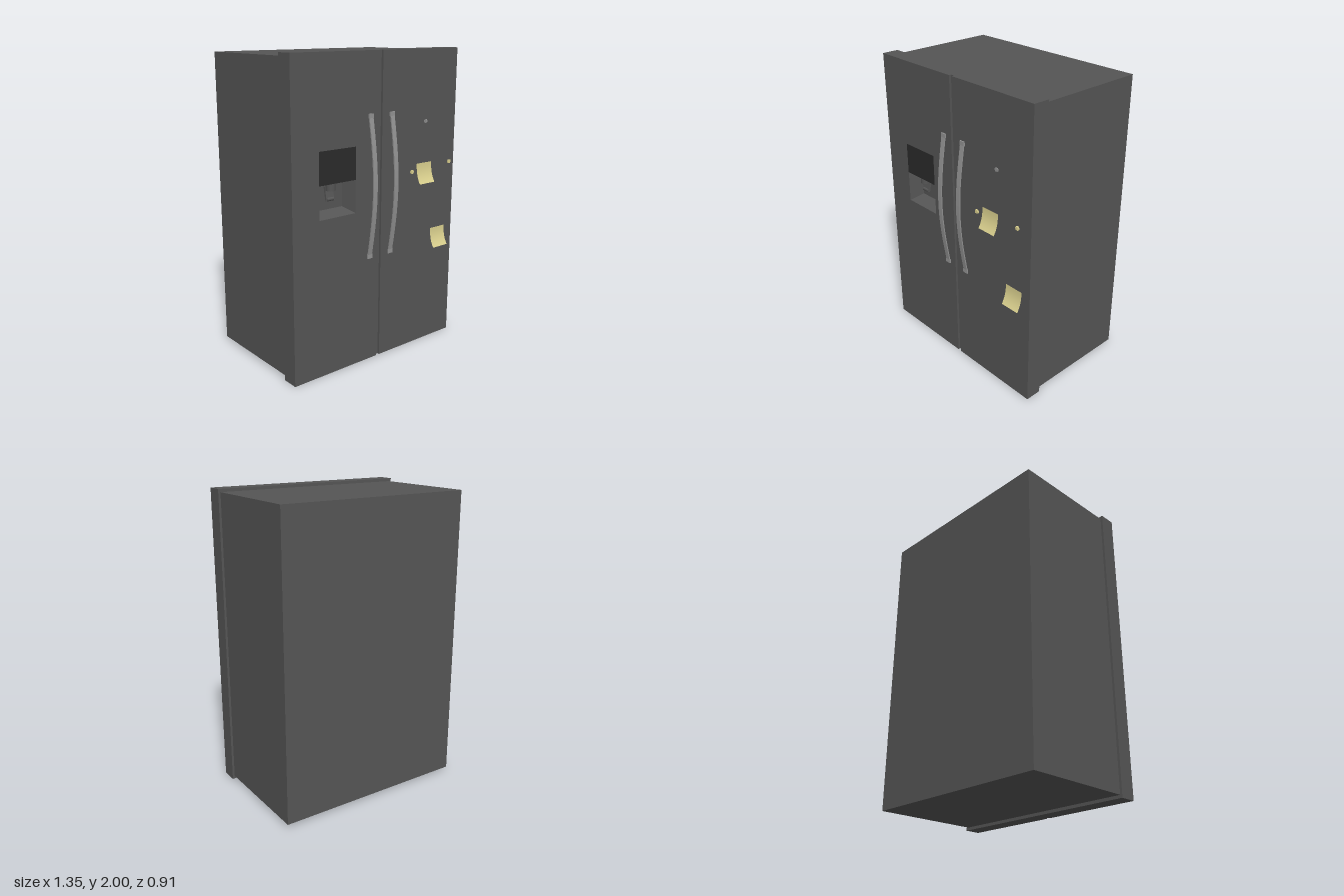
import * as THREE from 'three';

const mat = (name, color, side = THREE.FrontSide) => {
  const m = new THREE.MeshStandardMaterial({ color, side });
  m.name = name;
  return m;
};

export function createModel() {
  const model = new THREE.Group();
  model.name = 'refrigerator';
  const grey = mat('dark grey', 0x555555, THREE.DoubleSide);
  const black = mat('panel black', 0x2b2b2b);
  const steel = mat('handle steel', 0x929292);
  const yellow = mat('note yellow', 0xdad08e, THREE.DoubleSide);

  const add = (name, geometry, material, parent = model) => {
    const mesh = new THREE.Mesh(geometry, material);
    mesh.name = name;
    parent.add(mesh);
    return mesh;
  };
  // Box given by its minimum and maximum corners
  const box = (name, x0, x1, y0, y1, z0, z1, material, parent) =>
    add(name, new THREE.BoxGeometry(x1 - x0, y1 - y0, z1 - z0)
      .translate((x0 + x1) / 2, (y0 + y1) / 2, (z0 + z1) / 2), material, parent);
  const corners = (x0, x1, y0, y1) =>
    [[x0, y0], [x1, y0], [x1, y1], [x0, y1]].map(([x, y]) => new THREE.Vector2(x, y));

  // Cabinet and doors
  box('cabinet', -0.66, 0.66, 0.02, 1.98, -0.455, 0.28, grey);
  box('rightHandDoor', 0.014, 0.675, 0, 2, 0.28, 0.39, grey);
  box('doorSeal', -0.014, 0.014, 0, 2, 0.28, 0.375, grey);
  const door = new THREE.Shape(corners(-0.675, -0.014, 0, 2));
  door.holes.push(new THREE.Path(corners(-0.48, -0.2, 1.02, 1.435)));
  add('dispenserDoor', new THREE.ExtrudeGeometry(door, { depth: 0.11, bevelEnabled: false })
    .translate(0, 0, 0.28), grey);

  // Dispenser: control panel above a recess that narrows towards the back
  const dispenser = new THREE.Group();
  dispenser.name = 'dispenser';
  model.add(dispenser);
  box('controlPanel', -0.48, -0.2, 1.23, 1.435, 0.285, 0.391, black, dispenser);
  const f = [[-0.48, 1.02, 0.39], [-0.2, 1.02, 0.39], [-0.2, 1.23, 0.39], [-0.48, 1.23, 0.39]];
  const b = [[-0.445, 1.052, 0.3], [-0.235, 1.052, 0.3], [-0.235, 1.23, 0.3], [-0.445, 1.23, 0.3]];
  const quads = [[f[0], f[1], b[1], b[0]], [f[1], f[2], b[2], b[1]], [f[3], f[0], b[0], b[3]], b];
  const recess = new THREE.BufferGeometry();
  recess.setAttribute('position', new THREE.Float32BufferAttribute(
    quads.flatMap(([p, q, r, s]) => [p, q, r, p, r, s]).flat(), 3));
  recess.computeVertexNormals();
  add('recess', recess, grey, dispenser);
  // Spout and paddle
  add('spout', new THREE.CylinderGeometry(0.03, 0.03, 0.05, 16).translate(-0.36, 1.205, 0.345), grey, dispenser);
  const paddle = box('paddle', -0.03, 0.03, -0.045, 0.045, -0.006, 0.006, grey, dispenser);
  paddle.position.set(-0.36, 1.16, 0.33);
  paddle.rotation.x = -0.2;
  add('paddleTip', new THREE.CylinderGeometry(0.012, 0.012, 0.05, 12).rotateZ(Math.PI / 2)
    .translate(-0.36, 1.125, 0.338), grey, dispenser);

  // Bowed handles: a side profile extruded across the width
  const N = 20;
  const arc = (offset) => Array.from({ length: N + 1 }, (_, i) => {
    const t = i / N;
    return new THREE.Vector2(0.388 + offset + 0.049 * Math.sin(Math.PI * t), 0.71 + 0.905 * t);
  });
  const profile = new THREE.Shape([...arc(0.008), ...arc(0).reverse()]);
  for (const [name, x] of [['dispenserDoorHandle', -0.083], ['rightHandDoorHandle', 0.093]]) {
    const handle = new THREE.Group();
    handle.name = name;
    model.add(handle);
    add('handleBar', new THREE.ExtrudeGeometry(profile, { depth: 0.032, bevelEnabled: false })
      .rotateY(-Math.PI / 2).translate(x + 0.016, 0, 0), steel, handle);
    for (const y of [0.715, 1.61])
      box('handleFoot', x - 0.019, x + 0.019, y - 0.014, y + 0.014, 0.385, 0.399, steel, handle);
  }

  // Paper notes whose lower edge curls outward
  const note = (name, x, y, z) => {
    const g = new THREE.PlaneGeometry(0.135, 0.133, 1, 12);
    const p = g.attributes.position;
    for (let i = 0; i < p.count; i++) {
      const t = Math.max(0, 0.5 - p.getY(i) / 0.133);
      p.setZ(i, 0.034 * t ** 2.5);
    }
    g.computeVertexNormals();
    add(name, g.translate(x, y, z), yellow);
  };
  note('upperNote', 0.362, 1.205, 0.419);
  note('lowerNote', 0.538, 0.73, 0.391);

  // Small magnets: a square head with a side stub
  const magnet = (name, x, y, z, material) => {
    const group = new THREE.Group();
    group.name = name;
    model.add(group);
    box('magnetHead', x - 0.009, x + 0.007, y - 0.011, y + 0.011, z, z + 0.012, material, group);
    box('magnetStub', x - 0.014, x + 0.013, y - 0.006, y + 0.006, z + 0.002, z + 0.01, material, group);
  };
  magnet('leftMagnet', 0.25, 1.224, 0.418, yellow);
  magnet('rightMagnet', 0.597, 1.25, 0.418, yellow);
  magnet('topMagnet', 0.393, 1.538, 0.386, steel);

  return model;
}
